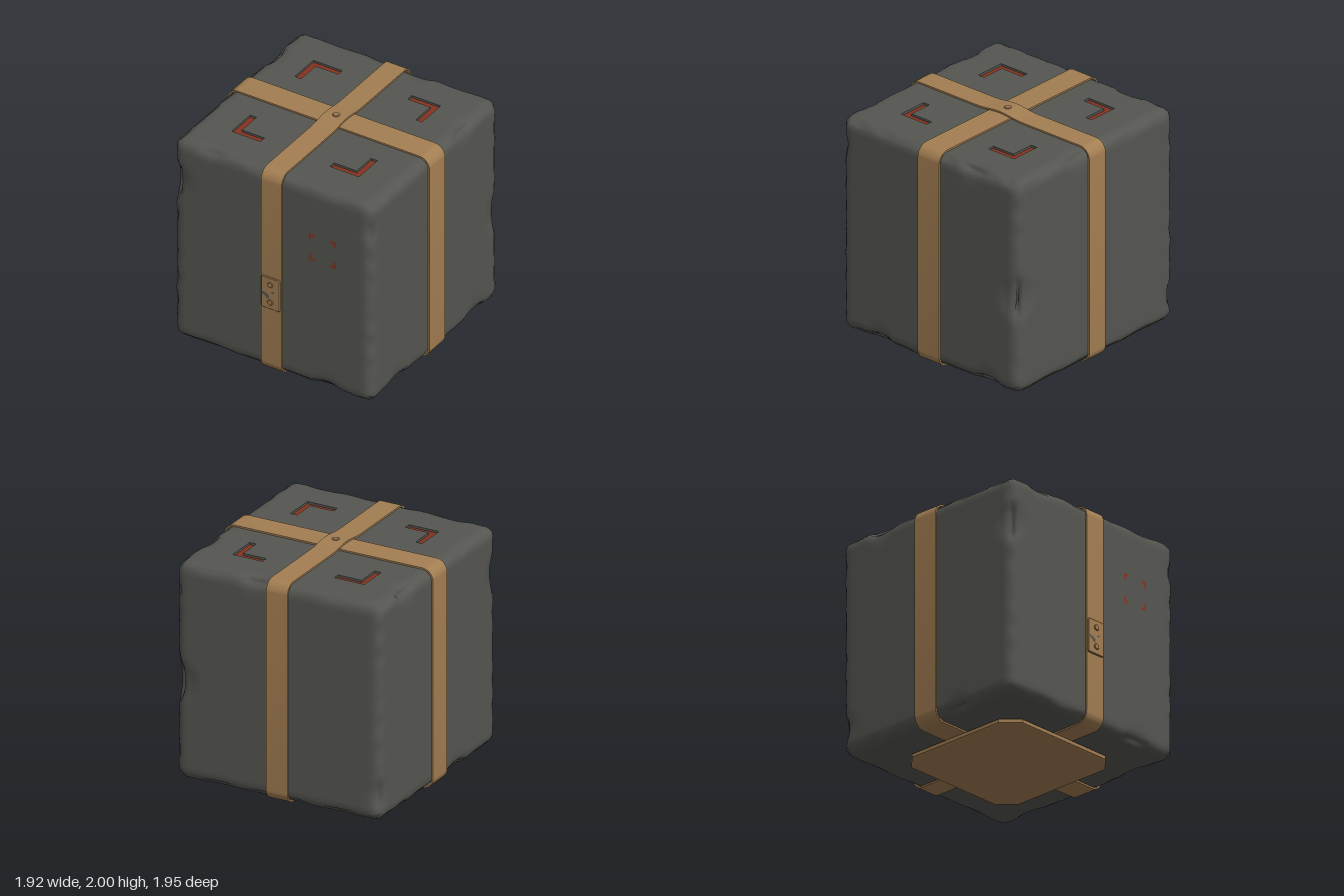
import * as THREE from 'three';
import { mergeVertices, toCreasedNormals } from 'three/addons/utils/BufferGeometryUtils.js';

const stone = new THREE.MeshStandardMaterial({ color: 0x555651 });
stone.name = 'charcoal';
const tan = new THREE.MeshStandardMaterial({ color: 0xa37e52 });
tan.name = 'tan';
const red = new THREE.MeshStandardMaterial({ color: 0x87331f });
red.name = 'rust red';

const CY = 1.007, CZ = -0.01, HX = 0.945, HY = 0.948, SEG = 48, PANEL = 0.7875;

function add(parent, name, geometry, material, x = 0, y = 0, z = 0) {
  const mesh = new THREE.Mesh(geometry, material);
  mesh.name = name;
  mesh.position.set(x, y, z);
  parent.add(mesh);
  return mesh;
}

// Worn places on the edges: centre, radius, depth
const dents = [
  [-0.93, 0.55, 0.93, 0.17, 0.09], [0.93, -0.1, -0.93, 0.2, 0.1],
  [0.93, 0.93, -0.45, 0.14, 0.05], [0.2, 0.94, -0.93, 0.16, 0.05],
  [-0.93, 0.93, -0.5, 0.15, 0.05], [0.93, -0.93, 0.55, 0.15, 0.06],
  [-0.93, -0.72, -0.93, 0.14, 0.05], [0.93, 0.7, 0.93, 0.1, 0.03],
  [-0.93, -0.93, 0.3, 0.14, 0.05], [0.93, -0.93, -0.6, 0.16, 0.06],
  [-0.6, 0.93, 0.93, 0.12, 0.03], [0.5, -0.93, 0.93, 0.14, 0.04],
];

// Rounded block with chipped edges, open where the top panel sits
function blockGeometry() {
  const R = 0.08;
  const geo = new THREE.BoxGeometry(HX * 2, HY * 2, HX * 2, SEG, SEG, SEG);
  const pos = geo.attributes.position;
  const keep = [];
  for (let i = 0; i < geo.index.count; i += 3) {
    const tri = [0, 1, 2].map((k) => geo.index.getX(i + k));
    const inPanel = tri.every((v) => pos.getY(v) > HY - 1e-4 &&
      Math.max(Math.abs(pos.getX(v)), Math.abs(pos.getZ(v))) < PANEL + 1e-3);
    if (!inPanel) keep.push(...tri);
  }
  geo.setIndex(keep);
  const p = new THREE.Vector3(), core = new THREE.Vector3(), n = new THREE.Vector3();
  const limit = new THREE.Vector3(HX - R, HY - R, HX - R), low = limit.clone().negate();
  for (let i = 0; i < pos.count; i++) {
    p.fromBufferAttribute(pos, i);
    core.copy(p).clamp(low, limit);
    n.copy(p).sub(core).normalize();
    const edge = 1 - Math.max(Math.abs(n.x), Math.abs(n.y), Math.abs(n.z));
    const wave = Math.sin(p.x * 17 + p.y * 23 + 1) + Math.sin(p.y * 31 - p.z * 19) + Math.sin(p.z * 27 + p.x * 11 + 2);
    let cut = edge * (0.03 + 0.017 * wave);
    const onPanel = p.y > HY - 1e-4 && Math.max(Math.abs(p.x), Math.abs(p.z)) < PANEL + 1e-3;
    for (const [x, y, z, r, depth] of onPanel ? [] : dents) {
      const d = Math.hypot(p.x - x, p.y - y, p.z - z) / r;
      if (d < 1) cut += depth * (1 - d * d) * (0.25 + 2.5 * edge);
    }
    p.copy(core).addScaledVector(n, R - cut);
    pos.setXYZ(i, p.x, p.y, p.z);
  }
  geo.deleteAttribute('uv');
  geo.deleteAttribute('normal');
  const merged = mergeVertices(geo);
  merged.computeVertexNormals();
  return merged;
}

// L mark whose corner is at (x, y), with arms pointing toward the centre
function cornerShape(x, y, sx, sy, arm, t) {
  const pts = [[0, 0], [arm, 0], [arm, t], [t, t], [t, arm], [0, arm]];
  return new THREE.Shape(pts.map(([a, b]) => new THREE.Vector2(sx * (x - a), sy * (y - b))));
}
const fourCorners = (size, arm, t) => [[1, 1], [-1, 1], [-1, -1], [1, -1]]
  .map(([sx, sy]) => cornerShape(size, size, sx, sy, arm, t));

// Rounded rectangle, with an optional rise in the middle of its top edge
function roundedRect(path, hw, hh, r, lift = 0) {
  path.moveTo(-hw + r, -hh);
  path.lineTo(hw - r, -hh);
  path.absarc(hw - r, -hh + r, r, -Math.PI / 2, 0);
  path.lineTo(hw, hh - r);
  path.absarc(hw - r, hh - r, r, 0, Math.PI / 2);
  if (lift) {
    path.lineTo(0.25, hh);
    path.bezierCurveTo(0.14, hh, 0.08, hh + lift, 0, hh + lift);
    path.bezierCurveTo(-0.08, hh + lift, -0.14, hh, -0.25, hh);
  }
  path.lineTo(-hw + r, hh);
  path.absarc(-hw + r, hh - r, r, Math.PI / 2, Math.PI);
  path.lineTo(-hw, -hh + r);
  path.absarc(-hw + r, -hh + r, r, Math.PI, Math.PI * 1.5);
  return path;
}

// Closed metal band, centred on its width
function bandGeometry(hw, hh, width, lift) {
  const t = 0.014;
  const shape = roundedRect(new THREE.Shape(), hw, hh, 0.1, lift);
  shape.holes.push(roundedRect(new THREE.Path(), hw - t, hh - t, 0.1 - t, lift));
  const geo = new THREE.ExtrudeGeometry(shape, { depth: width, bevelEnabled: false, curveSegments: 10 });
  geo.translate(0, 0, -width / 2);
  return toCreasedNormals(geo, 0.6);
}

// Domed rivet standing on +y
function rivetGeometry(r, h) {
  const profile = [[r, 0], [r, h * 0.5], [r * 0.8, h * 0.9], [0, h]];
  return toCreasedNormals(new THREE.LatheGeometry(profile.map(([x, y]) => new THREE.Vector2(x, y)), 20), 0.6);
}

export function createModel() {
  const model = new THREE.Group();
  model.name = 'strappedBlock';

  // Block and its top panel with recessed corner marks
  add(model, 'block', blockGeometry(), stone, 0, CY, CZ);
  const marks = fourCorners(0.606, 0.275, 0.06);
  const panelShape = new THREE.Shape([[-1, -1], [1, -1], [1, 1], [-1, 1]]
    .map(([x, y]) => new THREE.Vector2(x * PANEL, y * PANEL)));
  panelShape.holes.push(...marks);
  const panel = new THREE.ExtrudeGeometry(panelShape, { depth: 0.02, bevelEnabled: false });
  add(model, 'topPanel', panel, stone, 0, CY + HY - 0.02, CZ).rotation.x = -Math.PI / 2;
  add(model, 'topMarks', new THREE.ShapeGeometry(marks), red, 0, CY + HY - 0.019, CZ).rotation.x = -Math.PI / 2;

  // Small corner marks on the front
  add(model, 'frontMarks', new THREE.ShapeGeometry(fourCorners(0.128, 0.057, 0.02)), red, 0.477, 1.383, CZ + HX + 0.002);

  // Two crossing bands
  add(model, 'sideBand', bandGeometry(0.962, 0.962, 0.23, 0), tan, 0, CY, -0.013);
  add(model, 'frontBand', bandGeometry(0.962, 0.962, 0.196, 0.021), tan, 0, CY, -0.009).rotation.y = -Math.PI / 2;
  add(model, 'topRivet', rivetGeometry(0.03, 0.012), tan, 0, 1.988, -0.011);

  // Clasp plate with rivets and chipped spots
  const clasp = new THREE.Group();
  clasp.name = 'clasp';
  clasp.position.set(0, 0.814, 0.95);
  model.add(clasp);
  const plate = new THREE.ExtrudeGeometry(roundedRect(new THREE.Shape(), 0.085, 0.145, 0.016),
    { depth: 0.01, bevelThickness: 0.006, bevelSize: 0.006, bevelSegments: 1, curveSegments: 4 });
  add(clasp, 'claspPlate', plate, tan);
  for (const y of [0.085, -0.083]) {
    add(clasp, 'claspRivet', rivetGeometry(0.026, 0.012), tan, 0, y, 0.015).rotation.x = Math.PI / 2;
  }
  const chips = [
    [[-0.088, -0.005], [-0.07, -0.022], [-0.05, -0.03], [-0.035, -0.052], [-0.015, -0.05], [-0.012, -0.02], [-0.04, -0.003], [-0.07, 0.004]],
    [[0.005, 0.012], [0.02, 0.002], [0.028, 0.01], [0.04, 0.012], [0.034, 0.028], [0.02, 0.024]],
  ].map((pts) => new THREE.Shape(pts.map(([x, y]) => new THREE.Vector2(x, y))));
  add(clasp, 'claspChips', new THREE.ShapeGeometry(chips), stone, 0, 0, 0.018);

  // Eight-sided foot plate with a bevelled rim, and its centre pin
  const a = 0.605, b = 0.475;
  const foot = new THREE.Shape([[a, -b], [a, b], [b, a], [-b, a], [-a, b], [-a, -b], [-b, -a], [b, -a]]
    .map(([x, y]) => new THREE.Vector2(x, y)));
  const footGeo = new THREE.ExtrudeGeometry(foot, { depth: 0.03, bevelThickness: 0.008, bevelSize: 0.012, bevelSegments: 1 });
  add(model, 'footPlate', footGeo, tan, 0, 0.042, -0.007).rotation.x = Math.PI / 2;
  add(model, 'footPin', rivetGeometry(0.012, 0.004), tan, 0, 0.004, -0.01).rotation.x = Math.PI;
  return model;
}
